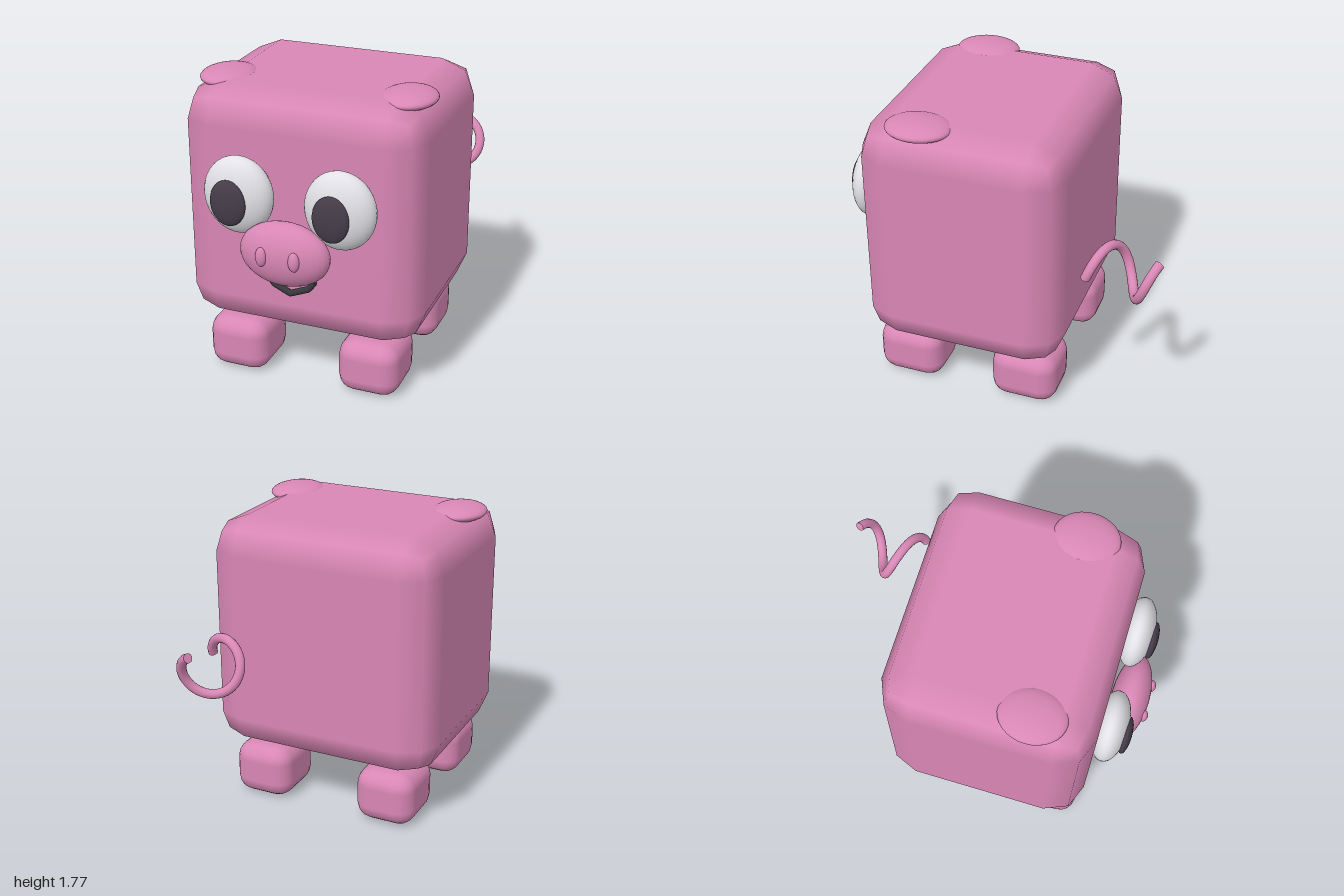
import * as THREE from 'three';
import { RoundedBoxGeometry } from 'three/addons/geometries/RoundedBoxGeometry.js';

const mat = (name, color) => {
  const m = new THREE.MeshStandardMaterial({ color });
  m.name = name;
  return m;
};

export function createModel() {
  const pink = mat('pink skin', 0xd987b5);
  const white = mat('eye white', 0xe6e6ec);
  const dark = mat('pupil dark', 0x463d4a);
  const black = mat('mouth black', 0x37363c);

  const model = new THREE.Group();
  model.name = 'cubePig';

  const add = (name, geometry, material, x = 0, y = 0, z = 0, parent = model) => {
    const mesh = new THREE.Mesh(geometry, material);
    mesh.name = name;
    mesh.position.set(x, y, z);
    parent.add(mesh);
    return mesh;
  };

  const ellipsoid = (name, material, [x, y, z], [rx, ry, rz]) =>
    add(name, new THREE.SphereGeometry(1, 32, 20).scale(rx, ry, rz), material, x, y, z);

  // Tube along a curve, closed with a disc at each end
  const cappedTube = (name, curve, segments, radius, material) => {
    const group = new THREE.Group();
    group.name = name;
    model.add(group);
    add(name + 'Tube', new THREE.TubeGeometry(curve, segments, radius, 12), material, 0, 0, 0, group);
    for (const t of [0, 1]) {
      const p = curve.getPointAt(t);
      const dir = curve.getTangentAt(t).multiplyScalar(t ? 1 : -1);
      const cap = add(name + 'Cap', new THREE.CircleGeometry(radius, 12), material, p.x, p.y, p.z, group);
      cap.quaternion.setFromUnitVectors(new THREE.Vector3(0, 0, 1), dir);
    }
  };

  // Body: block with coarse rounded edges
  add('body', new RoundedBoxGeometry(1.41, 1.41, 1.205, 1, 0.2), pink, 0, 1.037, 0.152);

  // Paired parts
  for (const [side, s] of [['left', 1], ['right', -1]]) {
    for (const [end, z] of [['Front', 0.52], ['Back', -0.2]]) {
      add(side + end + 'Leg', new RoundedBoxGeometry(0.364, 0.325, 0.4, 2, 0.1), pink, s * 0.402, 0.165, z);
    }
    ellipsoid(side + 'Ear', pink, [s * 0.53, 1.722, 0.4], [0.157, 0.049, 0.19]);
    ellipsoid(side + 'Eye', white, [s * 0.296, 1.19, 0.806], [0.204, 0.224, 0.103]);
    // Both pupils look slightly to the same side
    ellipsoid(side + 'Pupil', dark, [s * 0.297 - 0.021, 1.172, 0.9], [0.105, 0.133, 0.035]);
    ellipsoid(side + 'Nostril', pink, [s * 0.095, 0.926, 0.975], [0.032, 0.056, 0.025]);
  }

  // Snout
  ellipsoid('snout', pink, [0, 0.915, 0.872], [0.262, 0.186, 0.113]);

  // Smile made of straight pieces
  const smile = new THREE.CurvePath();
  const points = [[-0.135, 0.728, 0.788], [-0.103, 0.682, 0.798], [0, 0.643, 0.808],
    [0.103, 0.682, 0.798], [0.135, 0.728, 0.788]].map(p => new THREE.Vector3(...p));
  for (let i = 1; i < points.length; i++) smile.add(new THREE.LineCurve3(points[i - 1], points[i]));
  cappedTube('mouth', smile, 32, 0.019, black);

  // Curly tail: a helix running backwards
  class Helix extends THREE.Curve {
    getPoint(t, target = new THREE.Vector3()) {
      const a = t * 7.45;
      return target.set(0.445 + 0.136 * Math.cos(a), 0.993 + 0.136 * Math.sin(a), -0.575 - 0.052 * a);
    }
  }
  cappedTube('tail', new Helix(), 48, 0.028, pink);

  return model;
}
